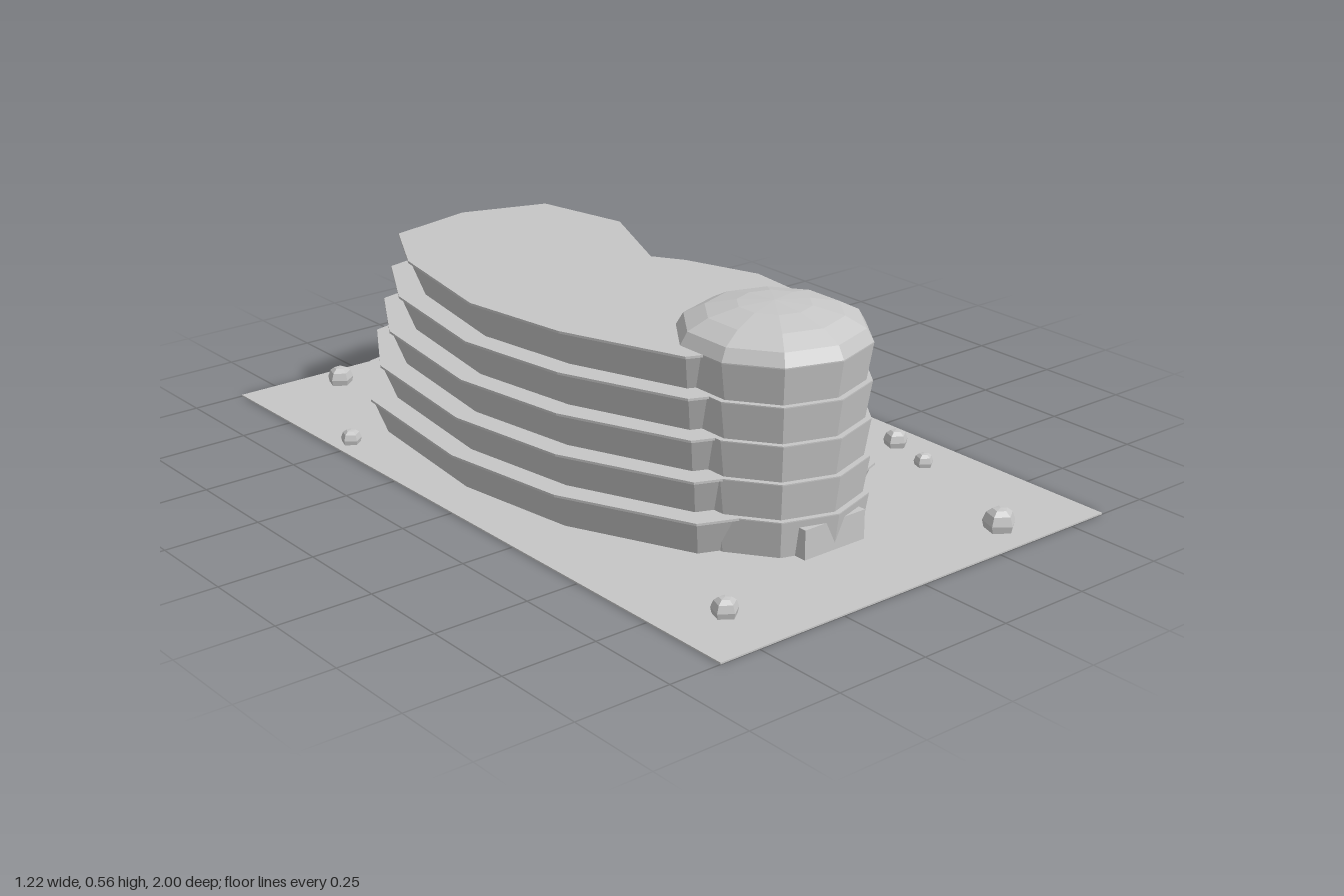
import * as THREE from 'three';

const grey = new THREE.MeshStandardMaterial({ color: 0xc6c6c6, flatShading: true });
grey.name = 'pale grey';

const FLOORS = 5, STEP = 0.095, BASE = 0.005;

// Matching [x, z] outlines of the lowest and highest floors
const lowest = [[-.05, -.855], [-.33, -.785], [-.485, -.54], [-.535, -.1], [-.485, .25], [-.33, .59], [-.23, .63],
  [.16, .62], [.24, .59], [.37, .32], [.405, .08], [.41, -.11], [.4, -.56], [.24, -.81]];
const highest = [[-.05, -.73], [-.29, -.68], [-.4, -.47], [-.465, -.105], [-.42, .19], [-.3, .51], [-.24, .535],
  [.13, .54], [.195, .495], [.225, .17], [.155, -.03], [.105, -.11], [.23, -.395], [.175, -.655]];

// Moves every edge of an outline inwards by d
function inset(pts, d) {
  const n = pts.length;
  const normal = (a, b) => {
    const dx = b[0] - a[0], dz = b[1] - a[1], l = Math.hypot(dx, dz);
    return [dz / l, -dx / l];
  };
  return pts.map((p, i) => {
    const m = normal(pts[(i + n - 1) % n], p), k = normal(p, pts[(i + 1) % n]);
    const s = d / (1 + m[0] * k[0] + m[1] * k[1]);
    return [p[0] + (m[0] + k[0]) * s, p[1] + (m[1] + k[1]) * s];
  });
}

// Closed solid between two matching outlines
function loft(bottom, top, y0, y1) {
  const n = top.length, pos = [], index = [];
  bottom.forEach(p => pos.push(p[0], y0, p[1]));
  top.forEach(p => pos.push(p[0], y1, p[1]));
  for (let i = 0; i < n; i++) {
    const j = (i + 1) % n;
    index.push(i, j, n + j, i, n + j, n + i);
  }
  const cap = pts => THREE.ShapeUtils.triangulateShape(pts.map(p => new THREE.Vector2(p[0], -p[1])), []);
  cap(top).forEach(([a, b, c]) => index.push(n + a, n + b, n + c));
  cap(bottom).forEach(([a, b, c]) => index.push(a, c, b));
  const g = new THREE.BufferGeometry();
  g.setAttribute('position', new THREE.Float32BufferAttribute(pos, 3));
  g.setIndex(index);
  return flat(g);
}

function flat(g) {
  const f = g.index ? g.toNonIndexed() : g;
  f.computeVertexNormals();
  return f;
}

function lathe(profile, sides) {
  return flat(new THREE.LatheGeometry(profile.map(p => new THREE.Vector2(p[0], p[1])), sides));
}

export function createModel() {
  const model = new THREE.Group();
  model.name = 'terracedBuilding';
  const add = (name, geometry, x = 0, y = 0, z = 0, parent = model) => {
    const mesh = new THREE.Mesh(geometry, grey);
    mesh.name = name;
    mesh.position.set(x, y, z);
    parent.add(mesh);
    return mesh;
  };

  add('ground', new THREE.BoxGeometry(1.22, 0.004, 2), 0, 0.002, 0);

  // Stepped floors, each flaring outwards to a thin roof edge
  for (let k = 0; k < FLOORS; k++) {
    const t = k / (FLOORS - 1);
    const edge = lowest.map((p, i) => [0, 1].map(c => p[c] + (highest[i][c] - p[c]) * t));
    const y0 = k ? BASE + k * STEP : 0.003, y1 = BASE + (k + 1) * STEP;
    add('floorWall' + (k + 1), loft(inset(edge, 0.042), inset(edge, 0.007), y0, y1 - 0.006));
    add('floorEdge' + (k + 1), loft(edge, edge, y1 - 0.006, y1));
  }

  // Ten-sided tower with one flared band per floor
  const tower = new THREE.Group();
  tower.name = 'tower';
  tower.position.set(-0.036, 0, 0.518);
  model.add(tower);
  for (let k = 0; k < FLOORS; k++) {
    const y0 = k ? BASE + k * STEP : 0.003, y1 = BASE + (k + 1) * STEP;
    add('towerBand' + (k + 1), lathe([[0, y0], [0.222, y0], [0.237, y1 - 0.003], [0.237, y1], [0, y1]], 10),
      0, 0, 0, tower);
  }

  // Flattened dome
  const dome = [];
  for (let i = 0; i <= 4; i++) {
    const a = i * Math.PI / 8;
    dome.push([i === 4 ? 0 : 0.237 * Math.cos(a), 0.48 + 0.082 * Math.sin(a)]);
  }
  add('dome', lathe(dome, 10), 0, 0, 0, tower);

  // Entrance block set into the foot of the tower
  add('entrance', new THREE.BoxGeometry(0.19, 0.077, 0.1), 0, 0.0415, 0.175, tower);

  // Small five-sided shrubs: x, z, radius
  [[-.35, -.91, .036], [.485, -.875, .04], [.53, -.7, .03], [-.56, -.525, .028],
    [.525, .38, .033], [.485, .52, .026], [-.455, .835, .034], [.35, .905, .042]].forEach(([x, z, r]) => {
    add('shrub', lathe([[r * 0.9, 0], [r, r * 0.45], [r * 0.8, r * 0.98], [r * 0.45, r * 1.25], [0, r * 1.32]], 5),
      x, 0.003, z);
  });

  return model;
}
